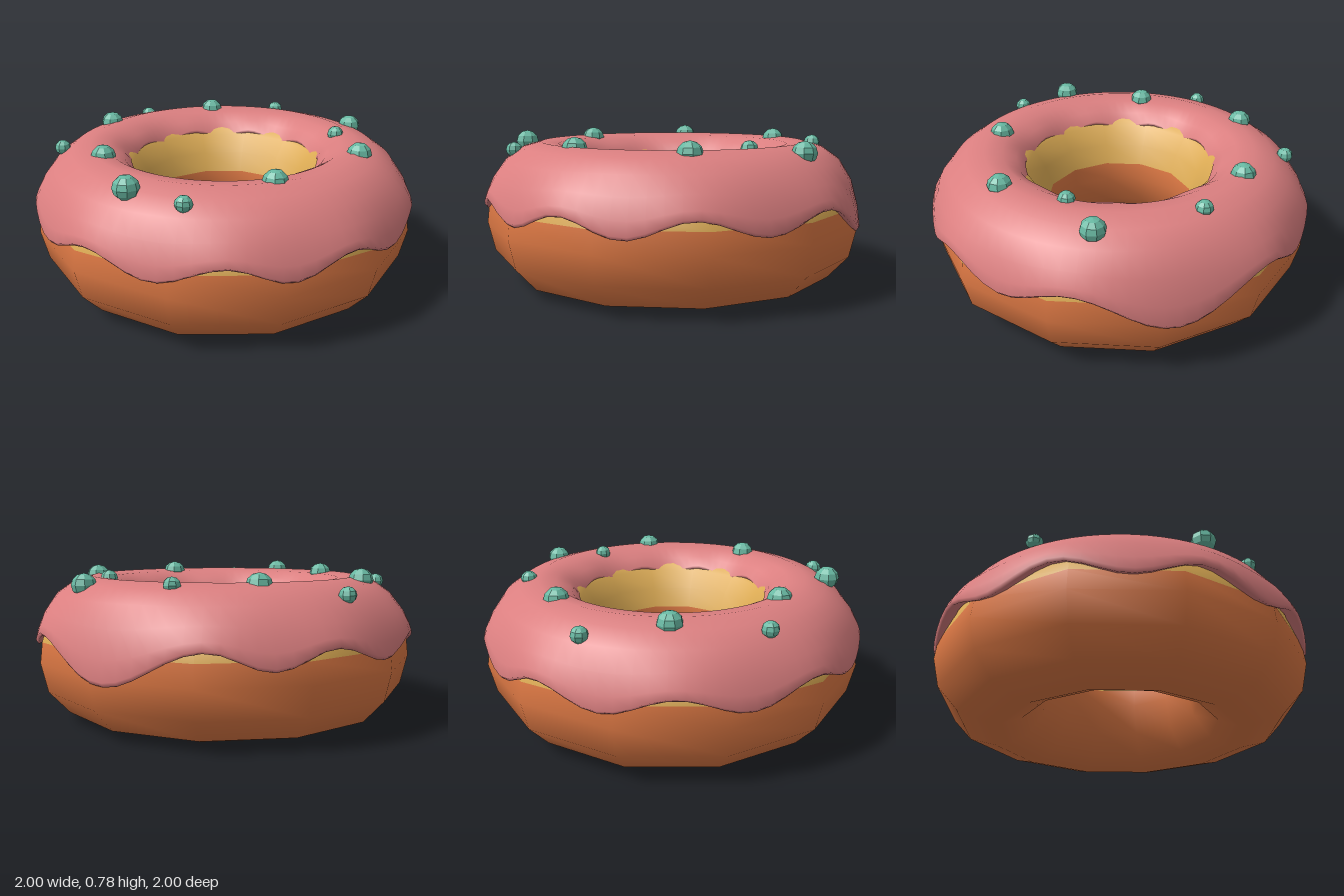
import * as THREE from 'three';
import { mergeVertices } from 'three/addons/utils/BufferGeometryUtils.js';

const material = (name, color) => {
  const m = new THREE.MeshStandardMaterial({ color });
  m.name = name;
  return m;
};

// Height of the outer icing edge: scallops between crests, with one long drip
const crests = [-41, -6, 30, 70, 127, 161, 200, 240, 280, 319];
function icingEdge(deg) {
  const a = deg > 319 ? deg - 360 : deg;
  let i = 0;
  while (i < crests.length - 2 && a > crests[i + 1]) i++;
  const t = (a - crests[i]) / (crests[i + 1] - crests[i]);
  const depth = crests[i] === 70 ? 0.175 : 0.085;
  return 0.465 - depth * Math.sin(Math.PI * t) ** 2;
}

// Icing rows: radius, height, share of outer wave, share of inner wave
const icingRows = [
  [0.93, 0.44, 1, 0],
  [0.985, 0.415, 1, 0],
  [0.998, 0.43, 0.95, 0],
  [0.985, 0.48, 0.6, 0],
  [0.95, 0.56, 0.2, 0],
  [0.885, 0.645, 0, 0],
  [0.8, 0.705, 0, 0],
  [0.7, 0.733, 0, 0],
  [0.61, 0.72, 0, 0],
  [0.54, 0.68, 0, 0.4],
  [0.495, 0.625, 0, 1],
  [0.498, 0.608, 0, 1],
  [0.535, 0.61, 0, 1],
];

function icingGeometry() {
  const segments = 80;
  const geo = new THREE.LatheGeometry(icingRows.map(([r, y]) => new THREE.Vector2(r, y)), segments);
  const pos = geo.attributes.position;
  const n = icingRows.length;
  for (let i = 0; i <= segments; i++) {
    const deg = (i % segments) * 360 / segments;
    const outer = icingEdge(deg) - 0.42;
    const inner = 0.018 * Math.cos(THREE.MathUtils.degToRad(deg * 9));
    icingRows.forEach(([, y, wo, wi], j) => pos.setY(i * n + j, y + outer * wo + inner * wi));
  }
  // Weld the seam so the shading runs on smoothly
  geo.deleteAttribute('uv');
  geo.deleteAttribute('normal');
  const welded = mergeVertices(geo, 1e-4);
  welded.computeVertexNormals();
  return welded;
}

const doughRing = (points) => new THREE.LatheGeometry(
  points.map(([r, y]) => new THREE.Vector2(r, y)), 12, THREE.MathUtils.degToRad(4));

export function createModel() {
  const group = new THREE.Group();
  group.name = 'doughnut';
  const add = (name, geo, mat) => {
    const mesh = new THREE.Mesh(geo, mat);
    mesh.name = name;
    group.add(mesh);
    return mesh;
  };

  // Browned lower dough, from the hole under and round to the outside
  add('bakedDough', doughRing([
    [0.395, 0.415], [0.385, 0.32], [0.425, 0.16], [0.52, 0.04], [0.62, 0],
    [0.7, 0], [0.85, 0.045], [0.955, 0.16], [0.99, 0.31], [0.978, 0.415],
  ]), material('bakedOrange', 0xe07a45));

  // Pale upper dough, seen as a band below the icing
  add('paleDough', doughRing([
    [0.978, 0.415], [0.955, 0.5], [0.86, 0.62], [0.7, 0.69],
    [0.57, 0.67], [0.5, 0.615], [0.435, 0.52], [0.395, 0.415],
  ]), material('paleYellow', 0xdcab54));

  const pink = material('icingPink', 0xdb7f80);
  pink.side = THREE.DoubleSide;
  add('icing', icingGeometry(), pink);

  // Sprinkles: x, y, z, radius
  const teal = material('sprinkleTeal', 0x68b8a2);
  teal.flatShading = true;
  const bead = new THREE.SphereGeometry(1, 8, 6);
  const sprinkles = [
    [0.13, 0.675, -0.86, 0.043], [-0.235, 0.72, -0.71, 0.063], [0.395, 0.72, -0.56, 0.063],
    [-0.65, 0.69, -0.56, 0.042], [0.69, 0.722, -0.3, 0.043], [-0.62, 0.72, -0.21, 0.063],
    [-0.785, 0.72, 0.23, 0.064], [0.78, 0.705, 0.21, 0.062], [0.54, 0.725, 0.31, 0.043],
    [-0.675, 0.695, 0.5, 0.042], [-0.235, 0.72, 0.615, 0.063], [0.365, 0.72, 0.615, 0.063],
  ];
  sprinkles.forEach(([x, y, z, r], i) => {
    const s = add('sprinkle' + (i + 1), bead, teal);
    s.position.set(x, y, z);
    s.scale.set(r, r * 0.92, r);
    s.rotation.y = i * 0.7;
  });
  return group;
}
